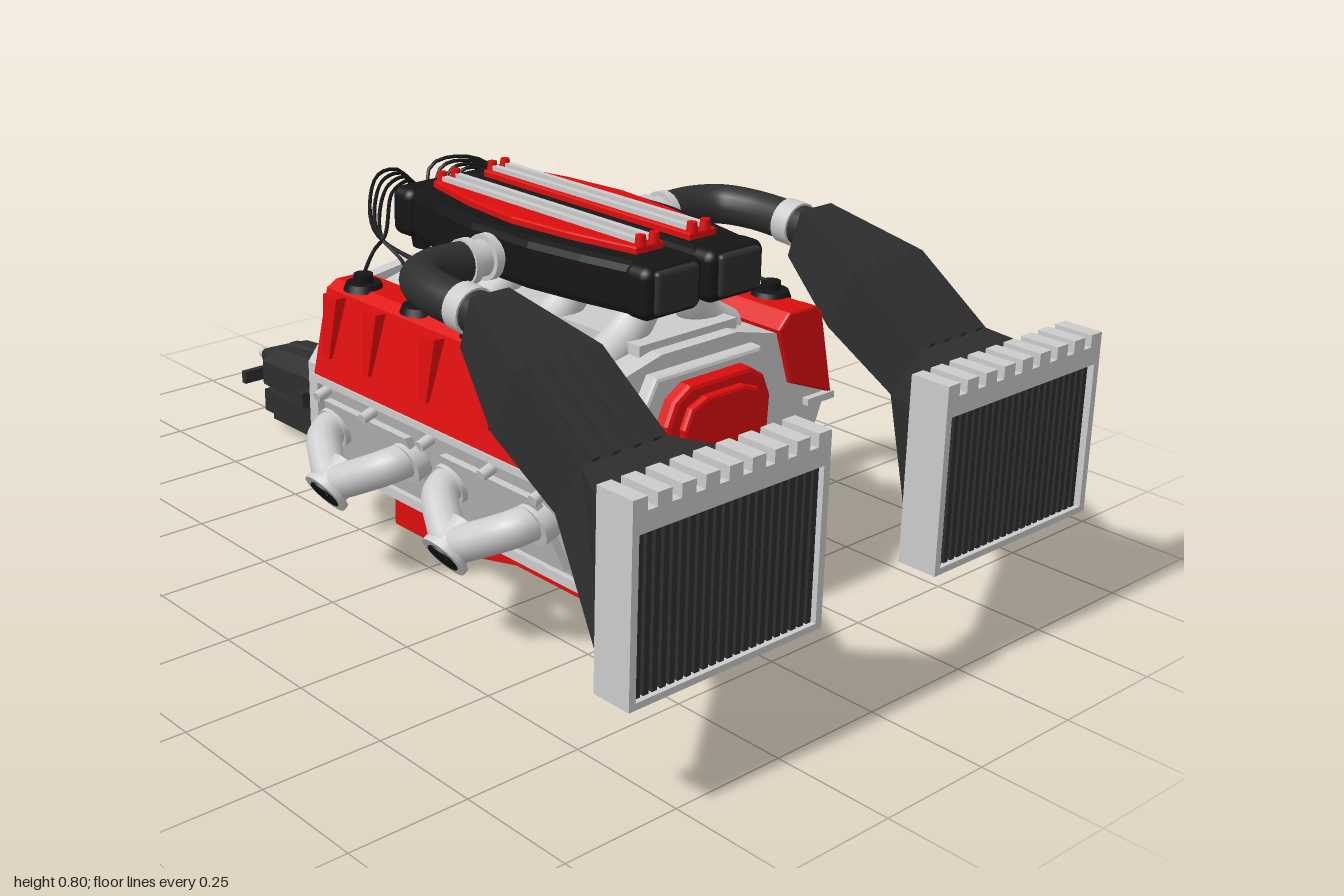
import * as THREE from 'three';
import { RoundedBoxGeometry } from 'three/addons/geometries/RoundedBoxGeometry.js';

const mat = (color, flatShading = false) => new THREE.MeshStandardMaterial({ color, flatShading });
const GREY = mat(0xcccccc), RED = mat(0xdd0d0d), DARK = mat(0x2e2e2e), BLACK = mat(0x151515);
const V = (x, y, z) => new THREE.Vector3(x, y, z);

export function createModel() {
  const root = new THREE.Group();
  const add = (name, geo, m, x = 0, y = 0, z = 0) => {
    const mesh = new THREE.Mesh(geo, m);
    mesh.name = name;
    mesh.position.set(x, y, z);
    root.add(mesh);
    return mesh;
  };
  const box = (name, m, x0, x1, y0, y1, z0, z1) => add(name,
    new THREE.BoxGeometry(Math.abs(x1 - x0), y1 - y0, z1 - z0), m, (x0 + x1) / 2, (y0 + y1) / 2, (z0 + z1) / 2);
  const shape = pts => new THREE.Shape(pts.map(p => new THREE.Vector2(...p)));
  const mirrored = half => [...half, ...half.slice().reverse().map(([x, y]) => [-x, y])];
  // Profile in x,y extruded along z, with an optional bevel inside the depth
  const extrudeZ = (name, m, pts, z0, z1, bevel = 0) => add(name, new THREE.ExtrudeGeometry(shape(pts), {
    depth: z1 - z0 - 2 * bevel, bevelEnabled: bevel > 0, bevelSize: bevel, bevelThickness: bevel, bevelOffset: -bevel, bevelSegments: 2,
  }), m, 0, 0, z0 + bevel);
  // Plan in x,z extruded upwards
  const extrudeY = (name, m, pts, y0, y1, bevel = 0) => {
    const mesh = extrudeZ(name, m, pts.map(([x, z]) => [x, -z]), 0, y1 - y0, bevel);
    mesh.rotation.x = -Math.PI / 2;
    mesh.position.set(0, y0 + bevel, 0);
    return mesh;
  };
  const tube = (name, m, pts, r, seg = 20, sides = 14) =>
    add(name, new THREE.TubeGeometry(new THREE.CatmullRomCurve3(pts), seg, r, sides), m);
  // Cylinder from a to b
  const rod = (name, m, a, b, r0, r1 = r0, sides = 24) => {
    const d = b.clone().sub(a);
    const mesh = add(name, new THREE.CylinderGeometry(r1, r0, d.length(), sides), m);
    mesh.position.copy(a).addScaledVector(d, 0.5);
    mesh.quaternion.setFromUnitVectors(V(0, 1, 0), d.normalize());
    return mesh;
  };
  // Flat-sided skin over equal-length rings with closed ends, turned outwards by its volume
  const loft = (name, m, rings) => {
    const tris = [], n = rings[0].length;
    for (let i = 0; i < rings.length - 1; i++) for (let j = 0; j < n; j++) {
      const a = rings[i][j], b = rings[i][(j + 1) % n], c = rings[i + 1][(j + 1) % n], d = rings[i + 1][j];
      tris.push([a, b, c], [a, c, d]);
    }
    const last = rings[rings.length - 1];
    for (let j = 1; j < n - 1; j++) tris.push([rings[0][0], rings[0][j + 1], rings[0][j]], [last[0], last[j], last[j + 1]]);
    const volume = tris.reduce((s, [a, b, c]) => s + a.dot(b.clone().cross(c)), 0);
    if (volume < 0) tris.forEach(t => t.reverse());
    const g = new THREE.BufferGeometry().setFromPoints(tris.flat());
    g.computeVertexNormals();
    return add(name, g, m);
  };
  // Eight-cornered ring at depth z
  const oct = (z, w, y0, y1, k = 0.55) => {
    const c = (y0 + y1) / 2, h = (y1 - y0) / 2;
    return [[k, 1], [1, k], [1, -k], [k, -1], [-k, -1], [-1, -k], [-1, k], [-k, 1]].map(([x, y]) => V(x * w, c + y * h, z));
  };
  const cylinders = [0.43, 0.24, 0.05, -0.14];

  // Engine block, end plates and valley
  extrudeZ('block', GREY, mirrored([[0.17, 0.14], [0.27, 0.16], [0.365, 0.4], [0.3, 0.44], [0.22, 0.56], [0.1, 0.59]]), -0.23, 0.53);
  extrudeZ('rearFlange', GREY, mirrored([[0.29, 0.155], [0.365, 0.175], [0.365, 0.42], [0.24, 0.58], [0.1, 0.6]]), -0.255, -0.225);
  extrudeZ('frontPlate', GREY, mirrored([[0.1, 0.15], [0.16, 0.24], [0.2, 0.45], [0.14, 0.56]]), 0.52, 0.56, 0.008);
  box('valleyCover', GREY, -0.13, 0.13, 0.58, 0.605, -0.2, 0.5);

  // Oil pan, deeper at the back
  const pan = extrudeZ('oilPan', RED, [[-0.545, 0.15], [0.225, 0.15], [0.225, 0], [0.03, 0], [-0.19, 0.05], [-0.545, 0.05]], -0.17, 0.17);
  pan.rotation.y = Math.PI / 2;
  pan.position.set(-0.17, 0, 0);

  // Timing cover, its raised panel, windows and crank pulley
  extrudeZ('timingCover', RED, mirrored([[0.06, 0.11], [0.085, 0.2], [0.1, 0.31], [0.135, 0.37], [0.14, 0.47], [0.12, 0.515], [0.08, 0.54]]), 0.55, 0.59, 0.01);
  extrudeZ('timingCoverPanel', RED, mirrored([[0.06, 0.335], [0.1, 0.375], [0.108, 0.46], [0.09, 0.5], [0.05, 0.515]]), 0.58, 0.605, 0.008);
  rod('crankHub', RED, V(0, 0.155, 0.58), V(0, 0.155, 0.605), 0.075);
  [[0.6, 0.625, 0.062], [0.625, 0.64, 0.045], [0.64, 0.67, 0.06]].forEach(([a, b, r]) =>
    rod('crankPulley', DARK, V(0, 0.155, a), V(0, 0.155, b), r));
  box('crankBolt', GREY, -0.012, 0.012, 0.143, 0.167, 0.66, 0.675);

  // Bell housing and gearbox
  loft('bellHousing', DARK, [oct(-0.25, 0.325, 0.07, 0.56), oct(-0.29, 0.325, 0.08, 0.52), oct(-0.35, 0.28, 0.085, 0.42),
    oct(-0.43, 0.13, 0.08, 0.28), oct(-0.46, 0.115, 0.08, 0.255)]);
  rod('flywheelCover', DARK, V(0, 0.155, -0.25), V(0, 0.155, -0.335), 0.135, 0.125, 28);
  loft('gearbox', DARK, [oct(-0.45, 0.115, 0.08, 0.255), oct(-0.66, 0.075, 0.085, 0.23), oct(-0.67, 0.09, 0.085, 0.225),
    oct(-0.87, 0.085, 0.1, 0.205), oct(-0.89, 0.05, 0.105, 0.2), oct(-0.98, 0.016, 0.135, 0.165)]);
  loft('gearboxRib', DARK, [oct(-0.43, 0.02, 0.2, 0.29), oct(-0.86, 0.02, 0.18, 0.215)]);
  rod('outputShaft', GREY, V(0, 0.15, -0.97), V(0, 0.15, -1), 0.012);
  box('gearboxFlange', DARK, -0.12, 0.12, 0.13, 0.17, -0.675, -0.65);
  box('rearMount', DARK, -0.13, 0.13, 0.13, 0.16, -0.895, -0.88);
  box('gearboxSump', DARK, -0.07, 0.07, 0.045, 0.1, -0.89, -0.55);
  loft('sumpPan', DARK, [oct(-0.57, 0.06, 0.018, 0.05), oct(-0.87, 0.06, 0.018, 0.05)]);
  rod('speedSensor', DARK, V(-0.06, 0.16, -0.53), V(-0.115, 0.16, -0.53), 0.035, 0.03, 10);

  // Distributor
  rod('distributorStem', GREY, V(0, 0.56, -0.26), V(0, 0.61, -0.31), 0.018);
  rod('distributor', BLACK, V(0, 0.59, -0.31), V(0, 0.65, -0.31), 0.035, 0.045);
  rod('distributorCap', BLACK, V(0, 0.65, -0.31), V(0, 0.685, -0.31), 0.042, 0.03);

  for (const s of [1, -1]) {
    const P = (x, y, z) => V(s * x, y, z);
    const flip = pts => pts.map(([x, y]) => [s * x, y]);

    // Valve cover with tapered ribs
    extrudeZ('valveCover', RED, flip([[0.375, 0.4], [0.335, 0.585], [0.31, 0.6], [0.24, 0.6], [0.21, 0.57], [0.25, 0.45]]), -0.225, 0.54, 0.006);
    for (const z of [0.49, 0.335, 0.145, -0.045, -0.18]) {
      const ring = (y, x, w, d) => [P(x - 0.03, y, z - w), P(x + d, y, z - w * 0.7), P(x + d, y, z + w * 0.7), P(x - 0.03, y, z + w)];
      loft('valveCoverRib', RED, [ring(0.45, 0.362, 0.016, 0.01), ring(0.58, 0.336, 0.034, 0.022)]);
    }
    box('headFlange', GREY, s * 0.3, s * 0.378, 0.39, 0.405, -0.23, 0.545);
    box('panFlange', GREY, s * 0.15, s * 0.285, 0.145, 0.165, -0.23, 0.545);
    for (const z of [0.49, 0.34, 0.15, -0.04, -0.2]) rod('headBolt', GREY, P(0.355, 0.37, z), P(0.385, 0.36, z), 0.012, 0.012, 8);
    for (const z of [0.43, 0.24, 0.05, -0.14]) rod('panBolt', RED, P(0.16, 0.135, z), P(0.195, 0.135, z), 0.012, 0.012, 8);

    // Exhaust pairs joining at one outlet
    for (const z of [0.32, -0.07]) {
      loft('exhaustPlate', GREY, [0, 0.018].map(d => [P(0.285 + d, 0.19, z - 0.17), P(0.35 + d, 0.35, z - 0.13),
        P(0.35 + d, 0.35, z + 0.15), P(0.285 + d, 0.19, z + 0.17)]));
      for (const e of [0.13, -0.12]) {
        rod('exhaustFlange', GREY, P(0.31, 0.3, z + e), P(0.355, 0.285, z + e), 0.045);
        tube('exhaustRunner', GREY, [P(0.3, 0.3, z + e), P(0.38, 0.285, z + e * 0.9), P(0.42, 0.25, z + e * 0.4), P(0.44, 0.225, z)], 0.037);
      }
      rod('exhaustCollector', GREY, P(0.4, 0.25, z), P(0.46, 0.208, z), 0.04, 0.042);
      rod('exhaustLip', GREY, P(0.452, 0.214, z), P(0.462, 0.207, z), 0.052);
      rod('exhaustOpening', BLACK, P(0.46, 0.208, z), P(0.464, 0.205, z), 0.036);
    }

    // Intake plenum with end caps, red lid and bright rails
    extrudeY('plenum', BLACK, flip([[0.008, -0.2], [0.14, -0.2], [0.175, -0.06], [0.195, 0.08], [0.195, 0.25], [0.175, 0.38], [0.15, 0.5], [0.008, 0.5]]), 0.665, 0.77, 0.018);
    for (const [z, d] of [[0.51, 1], [-0.2, -1]]) {
      add('plenumEnd', new RoundedBoxGeometry(0.15, 0.105, 0.07, 3, 0.022), BLACK, s * 0.083, 0.717, z);
      add('plenumEndPanel', new RoundedBoxGeometry(0.11, 0.085, 0.02, 3, 0.009), DARK, s * 0.083, 0.72, z + d * 0.034);
    }
    extrudeY('plenumLid', RED, flip([[0.035, -0.16], [0.1, -0.16], [0.135, 0], [0.15, 0.15], [0.135, 0.3], [0.105, 0.46], [0.035, 0.46]]), 0.765, 0.785, 0.004);
    for (const x of [0.05, 0.085]) {
      box('lidRail', GREY, s * (x - 0.007), s * (x + 0.007), 0.78, 0.795, -0.15, 0.45);
      for (const z of [-0.15, 0.45]) rod('lidBolt', RED, P(x, 0.78, z), P(x, 0.803, z), 0.012, 0.01, 10);
    }

    // Intake runners, plug boots and ignition leads
    cylinders.forEach((z, i) => {
      tube('intakeRunner', GREY, [P(0.055, 0.7, z), P(0.065, 0.65, z), P(0.1, 0.605, z), P(0.17, 0.56, z)], 0.04);
      rod('plugSeat', BLACK, P(0.3, 0.595, z), P(0.3, 0.61, z), 0.042, 0.036);
      rod('plugBoot', BLACK, P(0.3, 0.605, z), P(0.3, 0.628, z), 0.02);
      tube('ignitionLead', BLACK, [P(0.012 + i * 0.006, 0.68, -0.325 + i * 0.012), P(0.04 + i * 0.01, 0.755, -0.35 + i * 0.025),
        P(0.13, 0.765 - i * 0.006, -0.32 + i * 0.02), P(0.22 + i * 0.006, 0.69, -0.21 + i * 0.02),
        P(0.25, 0.66, (z - 0.2) / 2), P(0.3, 0.625, z)], 0.004, 40, 6);
    });

    // Boost pipe with clamps
    rod('plenumInlet', GREY, P(0.18, 0.715, 0.15), P(0.27, 0.715, 0.15), 0.037);
    for (const x of [0.205, 0.255]) rod('inletClamp', GREY, P(x, 0.715, 0.15), P(x + 0.018, 0.715, 0.15), 0.047);
    tube('boostPipe', DARK, [P(0.26, 0.715, 0.15), P(0.34, 0.717, 0.152), P(0.4, 0.717, 0.185), P(0.428, 0.715, 0.26), P(0.43, 0.708, 0.42)], 0.042, 28, 18);
    rod('pipeClamp', GREY, P(0.43, 0.712, 0.345), P(0.43, 0.709, 0.385), 0.047);

    // Duct widening down to the cooler: [x0, x1, top y, top z, bottom y, bottom z]
    const ductRing = ([x0, x1, yt, zt, yb, zb]) => [P(x0, yt, zt), P(x1, yt, zt), P(x1, yb, zb), P(x0, yb, zb)];
    loft('coolerDuct', DARK, [[0.385, 0.475, 0.757, 0.425, 0.655, 0.395], [0.335, 0.535, 0.69, 0.62, 0.555, 0.555],
      [0.335, 0.535, 0.57, 0.79, 0.46, 0.725], [0.17, 0.6, 0.53, 0.925, 0.24, 0.925]].map(ductRing));
    for (const x of [0.365, 0.41, 0.46, 0.505]) loft('ductRib', DARK, [
      ductRing([x - 0.008, x + 0.008, 0.7, 0.617, 0.547, 0.551]), ductRing([x - 0.008, x + 0.008, 0.578, 0.796, 0.452, 0.72])]);

    // Charge cooler: frame, notched top and vertical fins
    box('coolerSide', GREY, s * 0.155, s * 0.17, 0.225, 0.575, 0.915, 1);
    box('coolerSide', GREY, s * 0.6, s * 0.615, 0.225, 0.575, 0.915, 1);
    box('coolerBottom', GREY, s * 0.155, s * 0.615, 0.225, 0.238, 0.915, 1);
    box('coolerTop', GREY, s * 0.155, s * 0.615, 0.537, 0.575, 0.915, 1);
    for (let i = 0; i < 9; i++) box('coolerTooth', GREY, s * (0.155 + i * 0.0535), s * (0.187 + i * 0.0535), 0.57, 0.6, 0.915, 1);
    box('coolerCore', BLACK, s * 0.165, s * 0.605, 0.23, 0.54, 0.918, 0.975);
    for (let i = 0; i < 22; i++) box('coolerFin', DARK, s * (0.172 + i * 0.0195), s * (0.184 + i * 0.0195), 0.236, 0.54, 0.97, 0.99);

    // Front brackets and timing cover windows
    for (const [x, y] of [[0.142, 0.33], [0.125, 0.27], [0.12, 0.22]]) {
      box('frontBracket', GREY, s * (x - 0.04), s * (x + 0.02), y - 0.018, y + 0.012, 0.55, 0.575);
      box('coverBolt', RED, s * (x - 0.018), s * (x + 0.014), y - 0.012, y + 0.012, 0.565, 0.585);
    }
    extrudeZ('coverWindow', DARK, flip([[0.015, 0.22], [0.045, 0.22], [0.062, 0.3], [0.015, 0.3]]), 0.585, 0.592);
    extrudeZ('coverWindowPanel', RED, flip([[0.021, 0.226], [0.04, 0.226], [0.054, 0.29], [0.021, 0.29]]), 0.586, 0.598);
  }
  return root;
}
